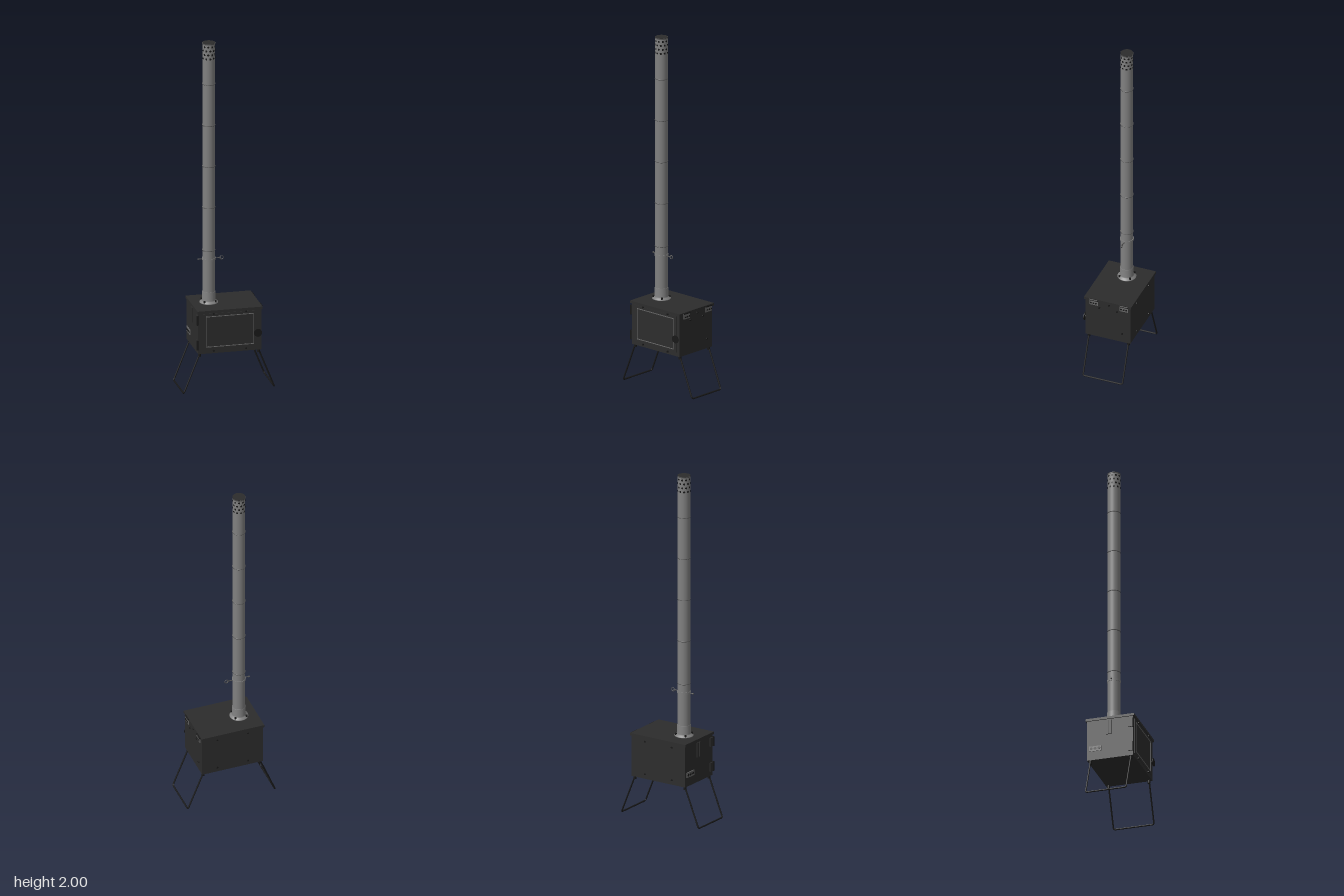
import * as THREE from 'three';

const mat = (name, color) => {
  const m = new THREE.MeshStandardMaterial({ color });
  m.name = name;
  return m;
};

export function createModel() {
  const root = new THREE.Group();
  root.name = 'tentStove';
  const black = mat('blackSteel', 0x2c2c2c);
  const dark = mat('darkIron', 0x181818);
  const steel = mat('pipeSteel', 0x808080);
  const seam = mat('seamGrey', 0x555555);
  const trim = mat('trimGrey', 0x686868);

  const add = (name, geo, material, x = 0, y = 0, z = 0, parent = root) => {
    const m = new THREE.Mesh(geo, material);
    m.name = name;
    m.position.set(x, y, z);
    parent.add(m);
    return m;
  };
  const box = (name, material, w, h, d, x, y, z) =>
    add(name, new THREE.BoxGeometry(w, h, d), material, x, y, z);
  // short cylinder along an axis, used for bolts and knobs
  const stud = (name, material, r, len, x, y, z, axis = 'y') => {
    const g = new THREE.CylinderGeometry(r, r, len, 16);
    if (axis === 'x') g.rotateZ(Math.PI / 2);
    if (axis === 'z') g.rotateX(Math.PI / 2);
    return add(name, g, material, x, y, z);
  };

  // firebox and lid
  box('firebox', black, 0.358, 0.24, 0.266, 0, 0.353, -0.005);
  box('lid', black, 0.37, 0.014, 0.28, 0, 0.477, -0.005);

  // front door with trim line, latch and bolts
  box('door', black, 0.31, 0.21, 0.004, 0, 0.36, 0.129);
  for (const s of [-1, 1]) {
    box('windowTrimHorizontal', trim, 0.272, 0.004, 0.003, 0, 0.36 + s * 0.088, 0.1315);
    box('windowTrimVertical', trim, 0.004, 0.18, 0.003, s * 0.135, 0.36, 0.1315);
    for (const y of [0.248, 0.464]) stud('frontBolt', dark, 0.005, 0.008, s * 0.092, y, 0.132, 'z');
  }
  stud('latchPost', dark, 0.007, 0.014, 0.157, 0.335, 0.134, 'z');
  stud('latchKnob', dark, 0.023, 0.004, 0.157, 0.335, 0.14, 'z');
  for (const y of [0.285, 0.43]) {
    box('doorHingeLeaf', black, 0.008, 0.05, 0.03, -0.182, y, 0.114);
    add('doorHingePin', new THREE.CylinderGeometry(0.005, 0.005, 0.055, 12), dark, -0.184, y, 0.13);
  }

  // lid hinges on the left side, each with a row of bolts
  for (const z of [0.077, -0.102]) {
    box('lidHingePlate', trim, 0.004, 0.032, 0.05, 0.186, 0.462, z);
    stud('lidHingePin', dark, 0.005, 0.05, 0.187, 0.478, z).rotation.x = Math.PI / 2;
    for (const dz of [-0.015, 0, 0.015]) stud('hingeBolt', dark, 0.005, 0.004, 0.189, 0.459, z + dz, 'x');
  }
  for (const [y, z] of [[0.43, 0.045], [0.43, -0.06], [0.29, -0.09], [0.46, -0.012]])
    stud('leftSideBolt', dark, 0.005, 0.01, 0.181, y, z, 'x');

  // air slide and vent on the right side
  box('airSlide', black, 0.006, 0.085, 0.032, -0.182, 0.42, -0.012);
  box('airSlideSlot', trim, 0.003, 0.08, 0.004, -0.185, 0.42, -0.012);
  box('airVent', trim, 0.004, 0.03, 0.07, -0.181, 0.3, -0.09);
  for (const dz of [-0.022, 0, 0.022]) stud('ventHole', dark, 0.008, 0.003, -0.1825, 0.3, -0.09 + dz, 'x');

  // rear bolts
  for (const x of [-0.09, 0.09]) for (const y of [0.26, 0.45])
    stud('rearBolt', dark, 0.005, 0.006, x, y, -0.139, 'z');

  // folding wire legs
  for (const s of [-1, 1]) {
    const pts = [[0.165, 0.235, 0.112], [0.257, 0.005, 0.112], [0.257, 0.005, -0.122], [0.165, 0.235, -0.122]]
      .map(([x, y, z]) => new THREE.Vector3(s * x, y, z));
    const path = new THREE.CurvePath();
    const a = pts[1].clone().lerp(pts[0], 0.05), b = pts[1].clone().lerp(pts[2], 0.05);
    const c = pts[2].clone().lerp(pts[1], 0.05), d = pts[2].clone().lerp(pts[3], 0.05);
    path.add(new THREE.LineCurve3(pts[0], a));
    path.add(new THREE.QuadraticBezierCurve3(a, pts[1], b));
    path.add(new THREE.LineCurve3(b, c));
    path.add(new THREE.QuadraticBezierCurve3(c, pts[2], d));
    path.add(new THREE.LineCurve3(d, pts[3]));
    add('wireLeg', new THREE.TubeGeometry(path, 160, 0.0045, 8), dark);
    for (const z of [0.112, -0.122]) stud('legSocket', dark, 0.008, 0.02, s * 0.167, 0.225, z);
  }

  // chimney
  const flue = new THREE.Group();
  flue.name = 'chimney';
  flue.position.set(-0.085, 0, -0.012);
  root.add(flue);
  const R = 0.035;
  const ringAt = (name, y, r, h, material) =>
    add(name, new THREE.CylinderGeometry(r, r, h, 40), material, 0, y, 0, flue);

  // flange with bolts and stepped collar
  const flangeProfile = [[0.034, 0.484], [0.052, 0.484], [0.052, 0.488], [0.042, 0.495], [0.0375, 0.5], [0.0375, 0.548], [0.034, 0.55]]
    .map(([x, y]) => new THREE.Vector2(x, y));
  add('flangeCollar', new THREE.LatheGeometry(flangeProfile, 40), steel, 0, 0, 0, flue);
  for (const x of [-1, 1]) for (const z of [-1, 1])
    add('flangeBolt', new THREE.CylinderGeometry(0.0055, 0.0055, 0.012, 12), dark, x * 0.032, 0.495, z * 0.032, flue);

  // pipe sections and seams
  const joints = [0.5, 0.79, 1.04, 1.28, 1.52, 1.76, 1.998];
  for (let i = 0; i < joints.length - 1; i++) {
    const h = joints[i + 1] - joints[i];
    ringAt('pipeSection', joints[i] + h / 2, R, h, steel);
    if (i > 0) {
      const bead = add('pipeSeam', new THREE.TorusGeometry(R, 0.0025, 8, 40), seam, 0, joints[i], 0, flue);
      bead.rotation.x = Math.PI / 2;
    }
  }

  // damper band, rod and ring handle
  ringAt('damperBand', 0.738, 0.038, 0.012, steel);
  const rod = add('damperRod', new THREE.CylinderGeometry(0.0025, 0.0025, 0.135, 10), seam, 0.003, 0.738, 0, flue);
  rod.rotation.z = Math.PI / 2;
  add('damperRing', new THREE.TorusGeometry(0.01, 0.0022, 8, 24), seam, 0.073, 0.738, 0, flue);
  const stop = add('damperStop', new THREE.CylinderGeometry(0.005, 0.005, 0.006, 10), seam, -0.06, 0.738, 0, flue);
  stop.rotation.z = Math.PI / 2;

  // spark arrestor: staggered holes and dark cap
  for (let row = 0; row < 4; row++) {
    for (let i = 0; i < 10; i++) {
      const a = ((i + (row % 2) / 2) / 10) * Math.PI * 2;
      const hole = add('sparkHole', new THREE.CircleGeometry(0.006, 14), dark,
        Math.sin(a) * (R + 0.0008), 1.912 + row * 0.023, Math.cos(a) * (R + 0.0008), flue);
      hole.rotation.y = a;
    }
  }
  ringAt('capRim', 1.996, 0.0365, 0.006, seam);
  ringAt('cap', 1.9985, 0.0355, 0.003, black);

  return root;
}
